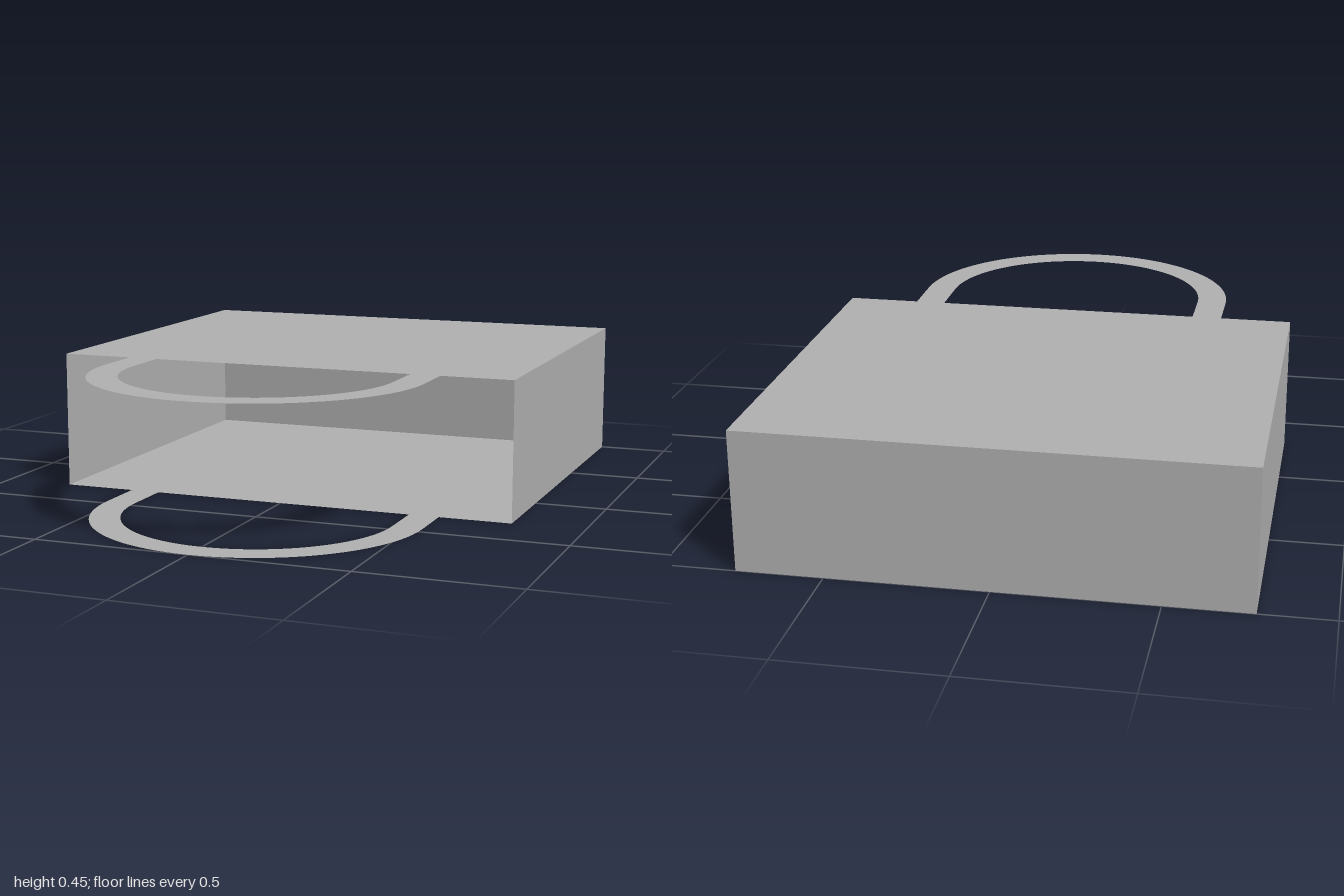
import * as THREE from 'three';

const W = 1.54, H = 0.447, BACK = -1, MOUTH = 0.297;
const OUTER = 0.535, INNER = 0.437, ARC_Z = 1 - OUTER;

export function createModel() {
  const cloth = new THREE.MeshStandardMaterial({ color: 0xb2b2b2, side: THREE.DoubleSide });
  cloth.name = 'grey cloth';
  const bag = new THREE.Group();
  bag.name = 'bag';

  const add = (name, geometry) => {
    const mesh = new THREE.Mesh(geometry, cloth);
    mesh.name = name;
    bag.add(mesh);
    return mesh;
  };

  const depth = MOUTH - BACK, midZ = (MOUTH + BACK) / 2;

  // Closed end of the bag, opposite the open mouth
  add('bottomPanel', new THREE.PlaneGeometry(W, H).rotateY(Math.PI)).position.set(0, H / 2, BACK);

  // Narrow side panels
  for (const s of [1, -1]) {
    add(s > 0 ? 'leftSide' : 'rightSide', new THREE.PlaneGeometry(depth, H).rotateY(s * Math.PI / 2))
      .position.set(s * W / 2, H / 2, midZ);
  }

  // U-shaped flat strap, drawn with z as the shape's second axis
  const strap = new THREE.Shape();
  strap.moveTo(OUTER, MOUTH);
  strap.lineTo(OUTER, ARC_Z);
  strap.absarc(0, ARC_Z, OUTER, 0, Math.PI, false);
  strap.lineTo(-OUTER, MOUTH);
  strap.lineTo(-INNER, MOUTH);
  strap.lineTo(-INNER, ARC_Z);
  strap.absarc(0, ARC_Z, INNER, Math.PI, 0, true);
  strap.lineTo(INNER, MOUTH);
  strap.closePath();

  // Two broad faces, each with its own strap; normals point outwards
  for (const top of [true, false]) {
    const y = top ? H : 0, label = top ? 'upper' : 'lower';
    add(label + 'Face', new THREE.PlaneGeometry(W, depth).rotateX(top ? -Math.PI / 2 : Math.PI / 2))
      .position.set(0, y, midZ);
    const g = new THREE.ShapeGeometry(strap, 32).rotateX(Math.PI / 2);
    if (top) g.rotateZ(Math.PI);
    add(label + 'Handle', g).position.y = y;
  }
  return bag;
}
